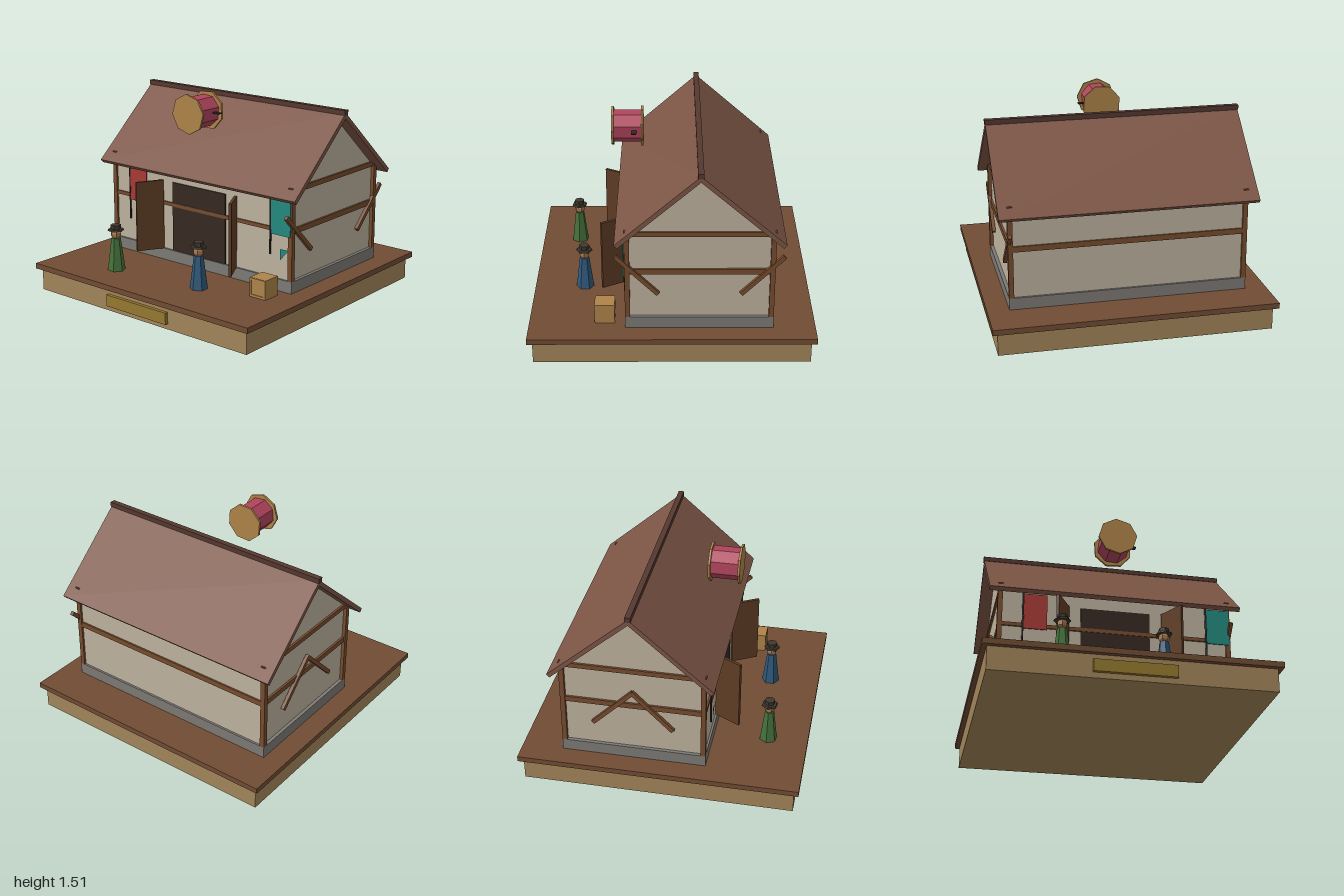
import * as THREE from 'three';

const mat = (color) => new THREE.MeshStandardMaterial({ color, flatShading: true });
const M = {
  tan: mat(0xa3855a), soil: mat(0x714c33), brass: mat(0x94792f), stone: mat(0x7d7a75),
  plaster: mat(0xbdb29e), timber: mat(0x774c2e), roof: mat(0x7c5545), ridge: mat(0x553830),
  dark: mat(0x352821), door: mat(0x5e3c25), pole: mat(0x2f2a28), crate: mat(0xae8349),
  skin: mat(0xa87850), hat: mat(0x40382f), green: mat(0x44703b), blue: mat(0x30587a),
  drum: mat(0xb0445c), red: mat(0xa83a34), teal: mat(0x238a7e),
};
M.red.side = M.teal.side = THREE.DoubleSide;

export function createModel() {
  const root = new THREE.Group();

  function add(name, geometry, material, x = 0, y = 0, z = 0, parent = root) {
    const mesh = new THREE.Mesh(geometry, material);
    mesh.name = name;
    mesh.position.set(x, y, z);
    parent.add(mesh);
    return mesh;
  }
  // Box given by its limits on each axis
  const box = (name, m, x0, x1, y0, y1, z0, z1) =>
    add(name, new THREE.BoxGeometry(x1 - x0, y1 - y0, z1 - z0), m, (x0 + x1) / 2, (y0 + y1) / 2, (z0 + z1) / 2);

  // Display base
  box('base', M.tan, -0.965, 0.965, 0, 0.165, -0.965, 0.965);
  box('groundSlab', M.soil, -1, 1, 0.165, 0.205, -1, 1);
  box('plaque', M.brass, -0.28, 0.28, 0.04, 0.125, 0.96, 0.99);

  // House body with gables, extruded across x
  const midZ = -0.19;
  box('foundation', M.stone, -0.845, 0.845, 0.205, 0.29, -0.705, 0.325);
  const section = new THREE.Shape([[-0.5, 0.29], [0.5, 0.29], [0.5, 0.925], [0, 1.365], [-0.5, 0.925]]
    .map(([a, b]) => new THREE.Vector2(a, b)));
  const body = new THREE.ExtrudeGeometry(section, { depth: 1.64, bevelEnabled: false });
  body.translate(0, 0, -0.82).rotateY(Math.PI / 2);
  add('walls', body, M.plaster, 0, 0, midZ);

  // Timber frame
  for (const s of [-1, 1]) {
    const [x0, x1] = s > 0 ? [0.81, 0.845] : [-0.845, -0.81];
    box('cornerPost', M.timber, x0, x1, 0.29, 0.955, 0.29, 0.325);
    box('cornerPost', M.timber, x0, x1, 0.29, 0.955, -0.705, -0.67);
    const [b0, b1] = s > 0 ? [0.8, 0.835] : [-0.835, -0.8];
    box('sideBeam', M.timber, b0, b1, 0.625, 0.665, -0.69, 0.31);
    box('gableBeam', M.timber, b0, b1, 0.915, 0.95, -0.69, 0.31);
    // Braces lean outward on one gable and inward on the other
    for (const e of [-1, 1]) {
      const brace = add('brace', new THREE.BoxGeometry(0.025, 0.41, 0.03), M.timber,
        s * 0.838, 0.62, midZ + e * (0.285 + s * 0.145));
      brace.rotation.x = e * s * Math.PI / 4;
    }
  }
  box('frontBeam', M.timber, -0.82, 0.82, 0.628, 0.655, 0.295, 0.322);
  box('backBeam', M.timber, -0.82, 0.82, 0.625, 0.665, -0.702, -0.67);

  // Roof slopes and ridge
  const run = 0.58, drop = 0.51, thick = 0.032;
  const pitch = Math.atan2(drop, run);
  for (const e of [-1, 1]) {
    const slope = add('roofSlope', new THREE.BoxGeometry(1.82, thick, Math.hypot(run, drop)), M.roof, 0,
      1.4 - drop / 2 - Math.cos(pitch) * thick / 2,
      midZ + e * (run / 2 - Math.sin(pitch) * thick / 2));
    slope.rotation.x = e * pitch;
  }
  box('ridgeBeam', M.ridge, -0.915, 0.915, 1.385, 1.42, midZ - 0.02, midZ + 0.02);

  // Doorway with two open doors
  box('doorway', M.dark, -0.25, 0.25, 0.29, 0.81, 0.29, 0.318);
  for (const s of [-1, 1]) {
    const door = add('door', new THREE.BoxGeometry(0.02, 0.525, 0.21), M.door, s * 0.393, 0.552, 0.408);
    door.rotation.y = s * Math.atan2(0.105, 0.19);
  }

  // Hanging banners with a loose pennant tip
  for (const [x, m] of [[-0.665, M.red], [0.663, M.teal]]) {
    add('bannerPole', new THREE.CylinderGeometry(0.007, 0.007, 0.44, 6), M.pole, x, 0.68, 0.33);
    box('banner', m, x + 0.007, x + 0.172, 0.61, 0.88, 0.327, 0.333);
    const tip = new THREE.Shape([new THREE.Vector2(0, 0), new THREE.Vector2(0, -0.08), new THREE.Vector2(0.07, 0)]);
    add('bannerTip', new THREE.ShapeGeometry(tip), m, x + 0.087, 0.513, 0.33);
  }

  // Drum floating above the eaves
  const drum = new THREE.Group();
  drum.name = 'drum';
  drum.position.set(0, 1.367, 0.315);
  drum.rotation.x = Math.PI / 2;
  root.add(drum);
  add('drumBody', new THREE.CylinderGeometry(0.115, 0.115, 0.21, 8).rotateY(0.3), M.drum, 0, 0, 0, drum);
  add('drumHead', new THREE.CylinderGeometry(0.143, 0.143, 0.016, 8).rotateY(0.1), M.crate, 0, 0.105, 0, drum);
  add('drumHead', new THREE.CylinderGeometry(0.143, 0.143, 0.016, 8).rotateY(0.45), M.crate, 0, -0.105, 0, drum);
  box('drumPeg', M.pole, 0.1, 0.165, 1.365, 1.373, 0.25, 0.285);

  // Two robed figures in brimmed hats
  function figure(name, x, z, robe, turn) {
    const g = new THREE.Group();
    g.name = name;
    g.position.set(x, 0.205, z);
    g.rotation.y = turn;
    root.add(g);
    add('robe', new THREE.CylinderGeometry(0.034, 0.064, 0.24, 6), robe, 0, 0.12, 0, g);
    add('head', new THREE.SphereGeometry(0.04, 6, 5), M.skin, 0, 0.27, 0, g);
    add('hatBrim', new THREE.CylinderGeometry(0.055, 0.06, 0.012, 6), M.hat, 0, 0.303, 0, g);
    add('hatCrown', new THREE.CylinderGeometry(0.038, 0.035, 0.035, 6), M.hat, 0, 0.322, 0, g);
  }
  figure('greenFigure', -0.445, 0.715, M.green, 0.4);
  figure('blueFigure', 0.275, 0.635, M.blue, 0);

  // Crate with a raised front frame
  box('crate', M.crate, 0.65, 0.785, 0.205, 0.345, 0.4, 0.535);
  for (const y of [0.21, 0.328]) box('crateSlat', M.crate, 0.65, 0.785, y, y + 0.015, 0.53, 0.541);
  for (const x of [0.65, 0.77]) box('crateSlat', M.crate, x, x + 0.015, 0.225, 0.328, 0.53, 0.541);

  return root;
}
